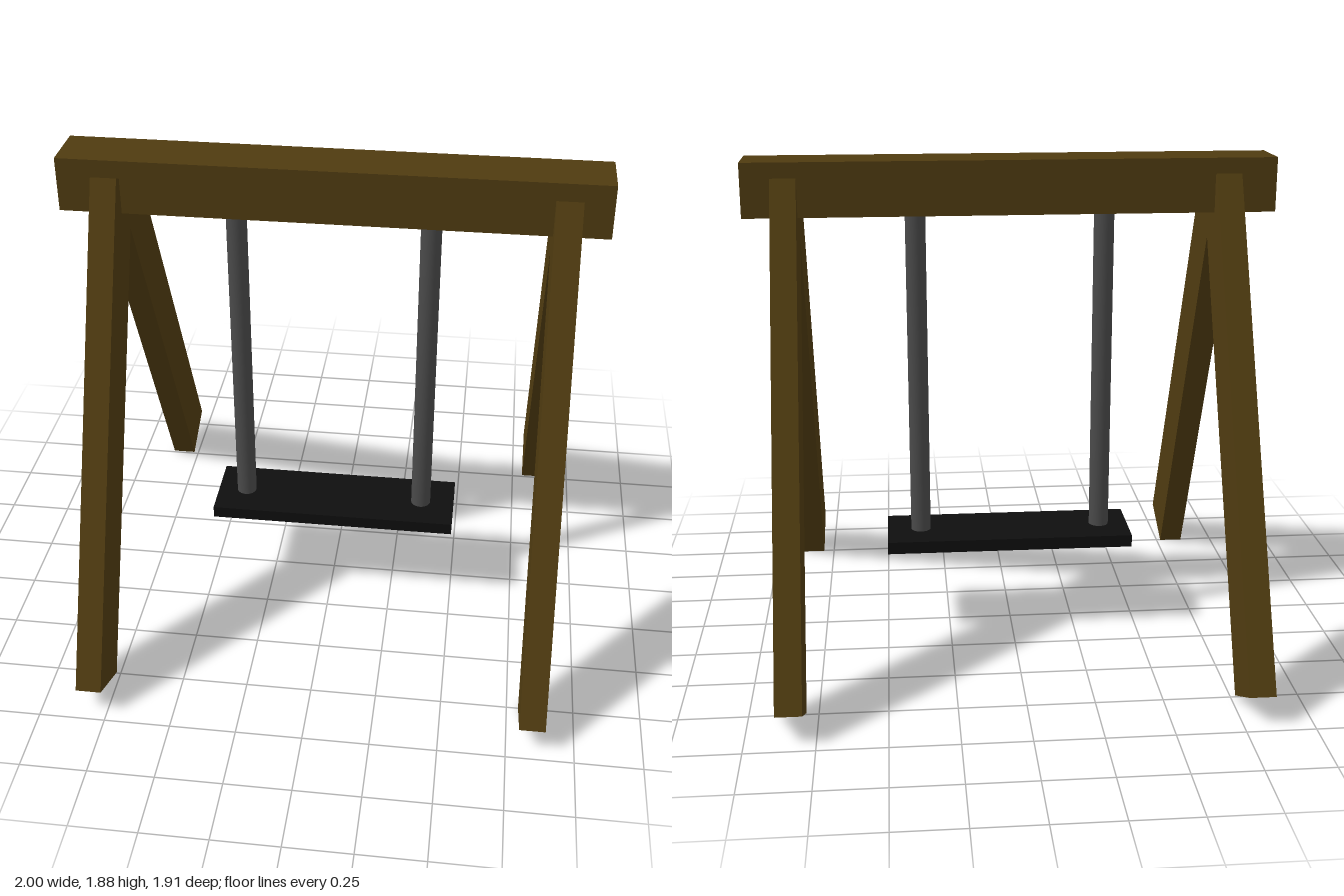
import * as THREE from 'three';

export function createModel() {
  const swing = new THREE.Group();
  swing.name = 'swingSet';

  const wood = new THREE.MeshStandardMaterial({ color: 0x4f3b10 });
  const metal = new THREE.MeshStandardMaterial({ color: 0x4a4a4a });
  const rubber = new THREE.MeshStandardMaterial({ color: 0x0e0e0e });

  const add = (name, geometry, material, x, y, z, tilt = 0) => {
    const mesh = new THREE.Mesh(geometry, material);
    mesh.name = name;
    mesh.position.set(x, y, z);
    mesh.rotation.x = tilt;
    swing.add(mesh);
  };

  // Top beam
  add('topBeam', new THREE.BoxGeometry(2, 0.205, 0.21), wood, 0, 1.785, 0.015);

  // A-frame legs, one leaning pair at each end
  const frontLeg = new THREE.BoxGeometry(0.096, 1.912, 0.232);
  const backLeg = new THREE.BoxGeometry(0.096, 1.919, 0.228);
  for (const [side, x] of [['right', -0.815], ['left', 0.842]]) {
    add(side + 'FrontLeg', frontLeg, wood, x, 0.919, 0.45, -0.433);
    add(side + 'BackLeg', backLeg, wood, x, 0.92, -0.428, 0.459);
  }

  // Hanging poles, running from the seat into the beam
  const pole = new THREE.CylinderGeometry(0.039, 0.039, 1.33, 32);
  add('rightPole', pole, metal, -0.363, 1.045, 0.018);
  add('leftPole', pole, metal, 0.36, 1.045, 0.018);

  // Seat
  add('seat', new THREE.BoxGeometry(0.972, 0.048, 0.29), rubber, 0.008, 0.372, 0.016);

  return swing;
}
